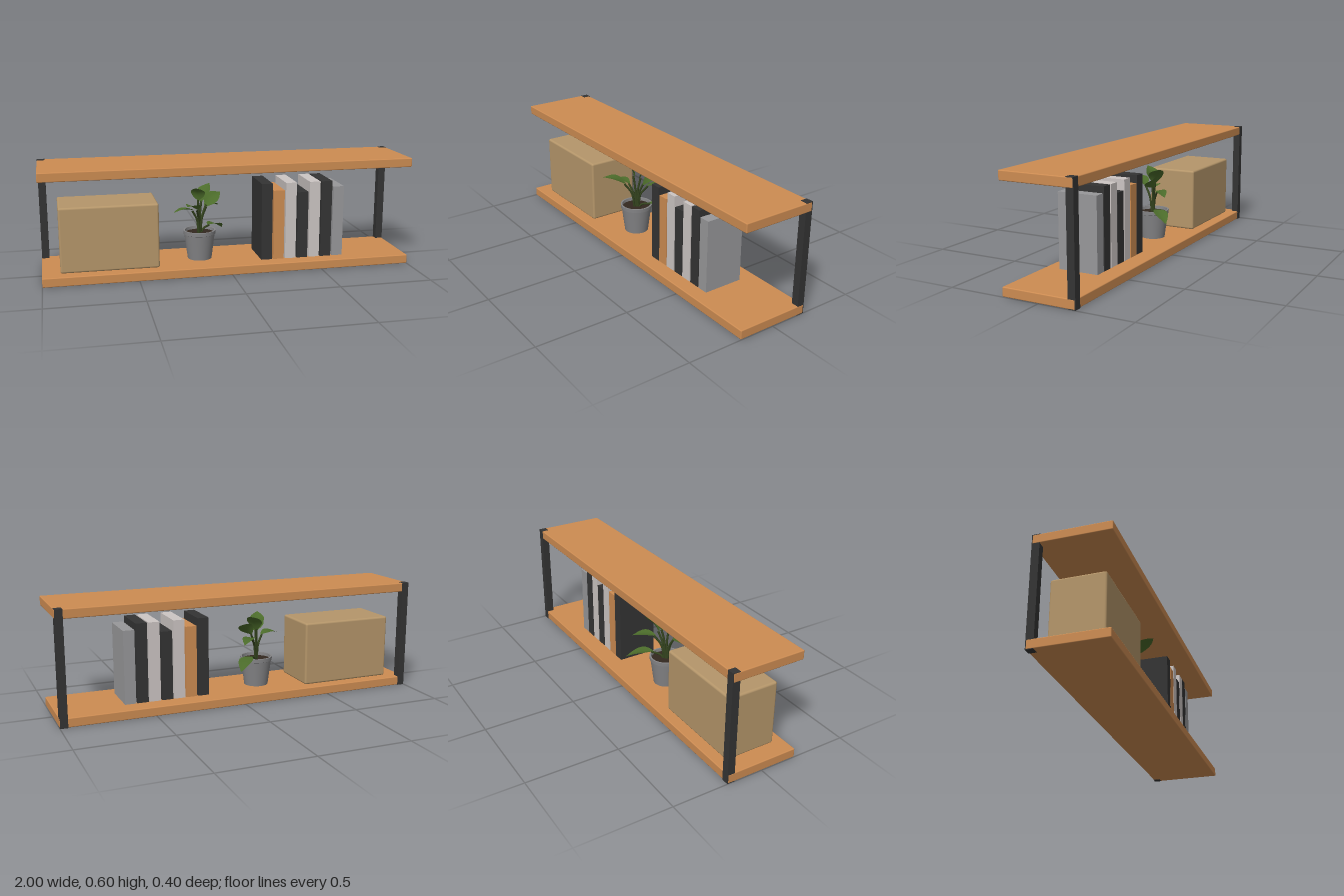
import * as THREE from 'three';
import { RoundedBoxGeometry } from 'three/addons/geometries/RoundedBoxGeometry.js';

function flat(name, color, side = THREE.FrontSide) {
  const m = new THREE.MeshStandardMaterial({ color, side });
  m.name = name;
  return m;
}

const V = (x, y, z) => new THREE.Vector3(x, y, z);

// Pointed oval leaf, arched along its length and folded along its midrib
function leafGeometry(base, tip, width, roll) {
  const axis = tip.clone().sub(base);
  const dir = axis.clone().normalize();
  const side = dir.clone().cross(V(0, 1, 0)).normalize().applyAxisAngle(dir, roll);
  const up = side.clone().cross(dir);
  const rows = 10, cols = 4, pos = [], index = [];
  for (let i = 0; i <= rows; i++) {
    const t = i / rows;
    const half = 0.5 * width * Math.sin(Math.PI * Math.pow(t, 0.85)) + 0.001;
    for (let j = 0; j <= cols; j++) {
      const s = (j / cols) * 2 - 1;
      const p = base.clone().addScaledVector(axis, t)
        .addScaledVector(side, s * half)
        .addScaledVector(up, 0.012 * Math.sin(Math.PI * t) + 0.25 * Math.abs(s) * half);
      pos.push(p.x, p.y, p.z);
      if (i < rows && j < cols) {
        const a = i * (cols + 1) + j, b = a + cols + 1;
        index.push(a, a + 1, b, a + 1, b + 1, b);
      }
    }
  }
  const g = new THREE.BufferGeometry();
  g.setAttribute('position', new THREE.Float32BufferAttribute(pos, 3));
  g.setIndex(index);
  g.computeVertexNormals();
  return g;
}

export function createModel() {
  const wood = flat('wood', 0xcd8c52);
  const charcoal = flat('charcoal', 0x343434);
  const card = flat('cardboard', 0xb5966a);
  const pale = flat('pale grey', 0xcdc6c4);
  const grey = flat('mid grey', 0x98989a);
  const potGrey = flat('pot grey', 0x858587);
  const soilBrown = flat('soil', 0x33281f);
  const leafGreen = flat('leaf green', 0x4b6b2a, THREE.DoubleSide);
  const stemGreen = flat('stem green', 0x35451f);

  const model = new THREE.Group();
  model.name = 'wallShelf';
  const add = (parent, name, geometry, material, x = 0, y = 0, z = 0) => {
    const mesh = new THREE.Mesh(geometry, material);
    mesh.name = name;
    mesh.position.set(x, y, z);
    parent.add(mesh);
    return mesh;
  };

  // Two boards and the two rear posts, whose ends show at the board corners
  const board = new RoundedBoxGeometry(2, 0.049, 0.398, 3, 0.005);
  add(model, 'lowerBoard', board, wood, 0, 0.0255, 0.001);
  add(model, 'upperBoard', board, wood, 0, 0.5745, 0.001);
  for (const s of [1, -1]) {
    add(model, s > 0 ? 'leftPost' : 'rightPost',
      new THREE.BoxGeometry(0.04, 0.6, 0.04), charcoal, s * 0.9792, 0.3, -0.18);
  }

  // Storage box
  add(model, 'storageBox', new RoundedBoxGeometry(0.52, 0.35, 0.28, 4, 0.011), card, -0.645, 0.225, 0);

  // Row of books
  const books = new THREE.Group();
  books.name = 'books';
  model.add(books);
  [[0.425, charcoal], [0.385, wood], [0.425, pale], [0.37, charcoal],
    [0.425, pale], [0.425, charcoal], [0.393, grey]].forEach(([h, m], i) => {
    add(books, 'book' + (i + 1), new THREE.BoxGeometry(0.06, h, 0.22), m, 0.207 + i * 0.0675, 0.05 + h / 2, 0.01);
  });

  // Potted plant
  const plant = new THREE.Group();
  plant.name = 'plant';
  plant.position.set(-0.145, 0, 0);
  model.add(plant);
  const profile = [[0, 0.05], [0.066, 0.05], [0.066, 0.05], [0.084, 0.188], [0.084, 0.188], [0.088, 0.19],
    [0.088, 0.19], [0.089, 0.21], [0.089, 0.21], [0.08, 0.21], [0.08, 0.21], [0.077, 0.18]]
    .map(([r, y]) => new THREE.Vector2(r, y));
  // each straight section is its own lathe so that edges stay crisp
  for (let i = 0; i < profile.length - 1; i++) {
    if (profile[i].equals(profile[i + 1])) continue;
    add(plant, 'potSection', new THREE.LatheGeometry([profile[i], profile[i + 1]], 40), potGrey);
  }
  add(plant, 'soil', new THREE.CylinderGeometry(0.079, 0.079, 0.006, 40), soilBrown, 0, 0.19, 0);

  // Leaves: base, tip, width, roll
  const leaves = [
    [V(-0.035, 0.325, 0.02), V(-0.15, 0.322, 0.05), 0.06, 0.1],
    [V(-0.02, 0.335, 0.055), V(-0.092, 0.378, 0.16), 0.075, 0],
    [V(-0.008, 0.375, 0.01), V(-0.028, 0.452, 0.05), 0.078, 0],
    [V(0.01, 0.36, -0.015), V(0.07, 0.452, -0.075), 0.085, 0],
    [V(0.035, 0.34, -0.02), V(0.128, 0.402, -0.06), 0.08, 0.6],
    [V(0.04, 0.325, -0.04), V(0.128, 0.312, -0.135), 0.065, 0],
    [V(0.055, 0.222, -0.045), V(0.158, 0.173, -0.158), 0.075, 0],
  ];
  leaves.forEach(([base, tip, width, roll], i) => {
    add(plant, 'leaf' + (i + 1), leafGeometry(base, tip, width, roll), leafGreen);
    const root = V(base.x * 0.2, 0.188, base.z * 0.2);
    const bend = V(base.x * 0.45, base.y * 0.6 + 0.188 * 0.4, base.z * 0.45);
    const joint = base.clone().lerp(tip, 0.08);
    const path = new THREE.CatmullRomCurve3([root, bend, joint]);
    add(plant, 'stem' + (i + 1), new THREE.TubeGeometry(path, 10, 0.006, 7), stemGreen);
  });

  return model;
}
